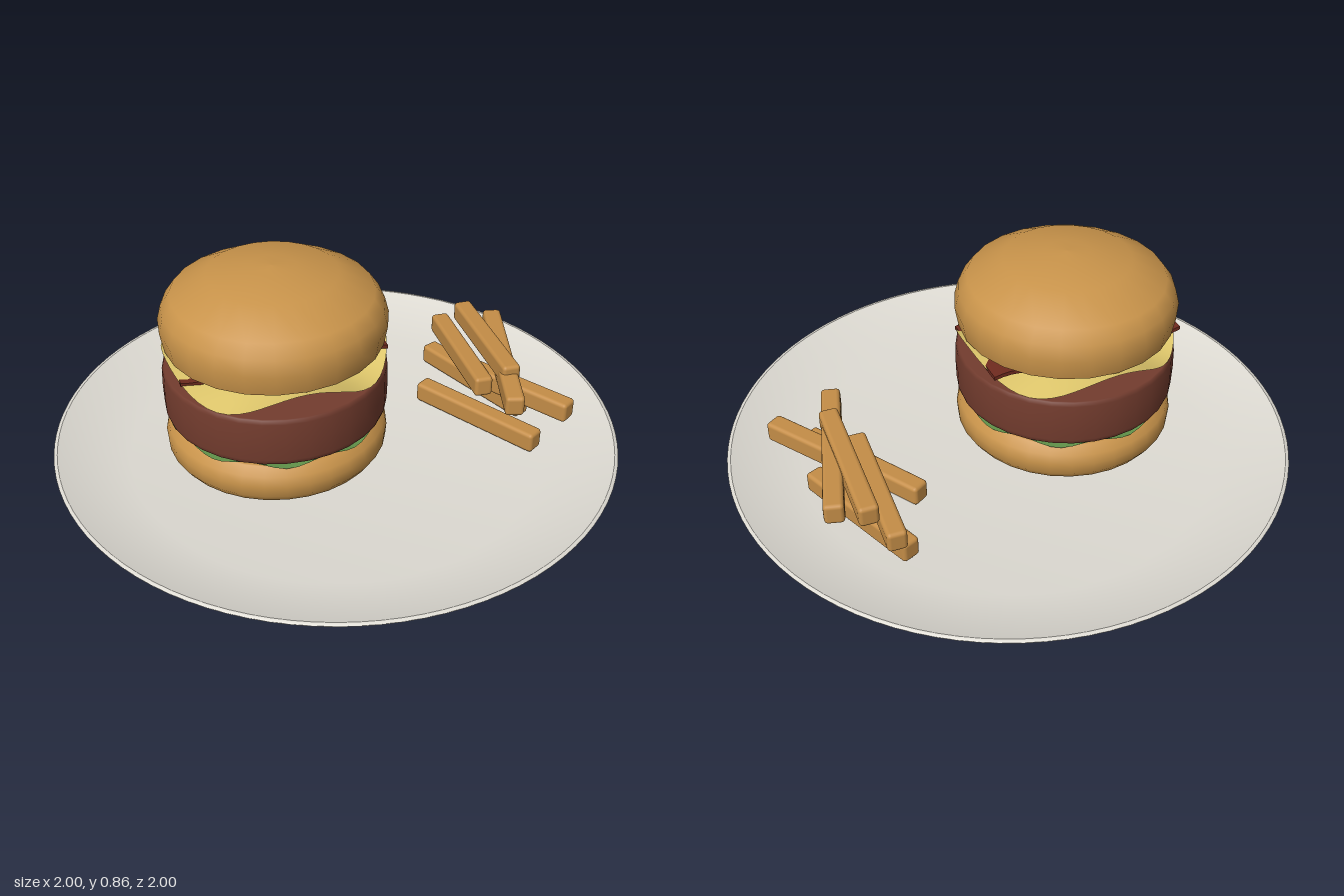
import * as THREE from 'three';
import { RoundedBoxGeometry } from 'three/addons/geometries/RoundedBoxGeometry.js';

const mat = (name, color, side = THREE.FrontSide) => {
  const m = new THREE.MeshStandardMaterial({ color, side });
  m.name = name;
  return m;
};

// Surface of revolution; points run from the bottom centre outwards and up
const lathe = (pts, segments) =>
  new THREE.LatheGeometry(pts.map(([r, y]) => new THREE.Vector2(r, y)), segments);

// Thin round sheet whose height follows a rule of radius (0..1) and angle
function sheet(radius, heightAt) {
  const geo = new THREE.RingGeometry(0.001, radius, 64, 8);
  geo.rotateX(-Math.PI / 2);
  const p = geo.attributes.position;
  for (let i = 0; i < p.count; i++) {
    const x = p.getX(i), z = p.getZ(i);
    p.setY(i, heightAt(Math.hypot(x, z) / radius, Math.atan2(z, x)));
  }
  geo.computeVertexNormals();
  return geo;
}

export function createModel() {
  const china = mat('china', 0xdedbd3);
  const bread = mat('bread', 0xc8934a);
  const meat = mat('meat', 0x733c2e);
  const cheeseMat = mat('cheese', 0xe0c86c, THREE.DoubleSide);
  const green = mat('lettuce green', 0x5f9048, THREE.DoubleSide);
  const baconMat = mat('bacon red', 0x6e2a1e, THREE.DoubleSide);
  const potato = mat('potato', 0xc48d47);

  const model = new THREE.Group();
  model.name = 'burgerPlate';
  const add = (parent, name, geo, material) => {
    const mesh = new THREE.Mesh(geo, material);
    mesh.name = name;
    parent.add(mesh);
    return mesh;
  };

  // Plate: foot, underside and shallow dish
  const plate = new THREE.Group();
  plate.name = 'plate';
  model.add(plate);
  add(plate, 'plateFoot', lathe([[0, 0], [0.404, 0], [0.41, 0.004], [0.416, 0.028],
    [0.41, 0.034], [0.37, 0.045], [0.36, 0.055], [0.36, 0.08]], 64), china);
  add(plate, 'plateUnderside', lathe([[0.3, 0.075], [0.74, 0.075], [0.998, 0.166]], 96), china);
  add(plate, 'plateRim', lathe([[0.998, 0.166], [1, 0.172], [0.988, 0.174]], 96), china);
  add(plate, 'plateDish', lathe([[0.988, 0.174], [0.74, 0.09], [0, 0.088]], 96), china);

  // Burger stack
  const burger = new THREE.Group();
  burger.name = 'burger';
  burger.position.x = -0.22;
  model.add(burger);

  add(burger, 'bottomBun', lathe([[0, 0.17], [0.36, 0.17], [0.364, 0.172], [0.383, 0.2],
    [0.386, 0.24], [0.378, 0.275], [0.35, 0.3], [0.345, 0.302], [0, 0.302]], 32), bread);

  add(burger, 'lettuce', sheet(0.37, (r, a) => 0.317 + 0.012 * r * r * Math.cos(9 * a)), green);

  add(burger, 'patty', lathe([[0, 0.33], [0.374, 0.33], [0.378, 0.332], [0.384, 0.35],
    [0.386, 0.42], [0.384, 0.49], [0.378, 0.503], [0.374, 0.505], [0, 0.505]], 32), meat);

  // Bacon strips with a gentle ripple
  for (const z of [-0.12, 0.08]) {
    const strip = new THREE.BoxGeometry(0.71, 0.014, 0.13, 24, 1, 1);
    const p = strip.attributes.position;
    for (let i = 0; i < p.count; i++) {
      p.setY(i, p.getY(i) + 0.008 * Math.sin(p.getX(i) * 26));
    }
    strip.computeVertexNormals();
    add(burger, 'baconStrip', strip, baconMat).position.set(0, 0.555, z);
  }

  // Cheese slice: four corners droop, edge middles lift
  add(burger, 'cheese', sheet(0.38, (r, a) => 0.55 + 0.041 * r * r * Math.cos(4 * a)), cheeseMat);

  add(burger, 'topBun', lathe([[0, 0.595], [0.37, 0.595], [0.374, 0.597], [0.386, 0.667],
    [0.372, 0.72], [0.34, 0.765], [0.22, 0.83], [0.08, 0.85], [0, 0.855]], 24), bread);

  // Fries: start and end of each stick
  const fries = new THREE.Group();
  fries.name = 'fries';
  model.add(fries);
  const sticks = [
    [[0.40, 0.135, -0.16], [0.66, 0.135, 0.29]],
    [[0.53, 0.135, -0.40], [0.71, 0.135, 0.08]],
    [[0.56, 0.235, -0.08], [0.785, 0.235, 0.285]],
    [[0.59, 0.235, -0.445], [0.55, 0.25, 0.07]],
    [[0.565, 0.30, 0.285], [0.75, 0.30, -0.31]],
    [[0.655, 0.315, -0.38], [0.62, 0.33, 0.14]],
  ];
  for (const [a, b] of sticks) {
    const from = new THREE.Vector3(...a), to = new THREE.Vector3(...b);
    const geo = new RoundedBoxGeometry(0.068, 0.076, from.distanceTo(to), 2, 0.014);
    const fry = add(fries, 'fry', geo, potato);
    fry.position.copy(from).lerp(to, 0.5);
    fry.lookAt(to);
  }
  return model;
}
